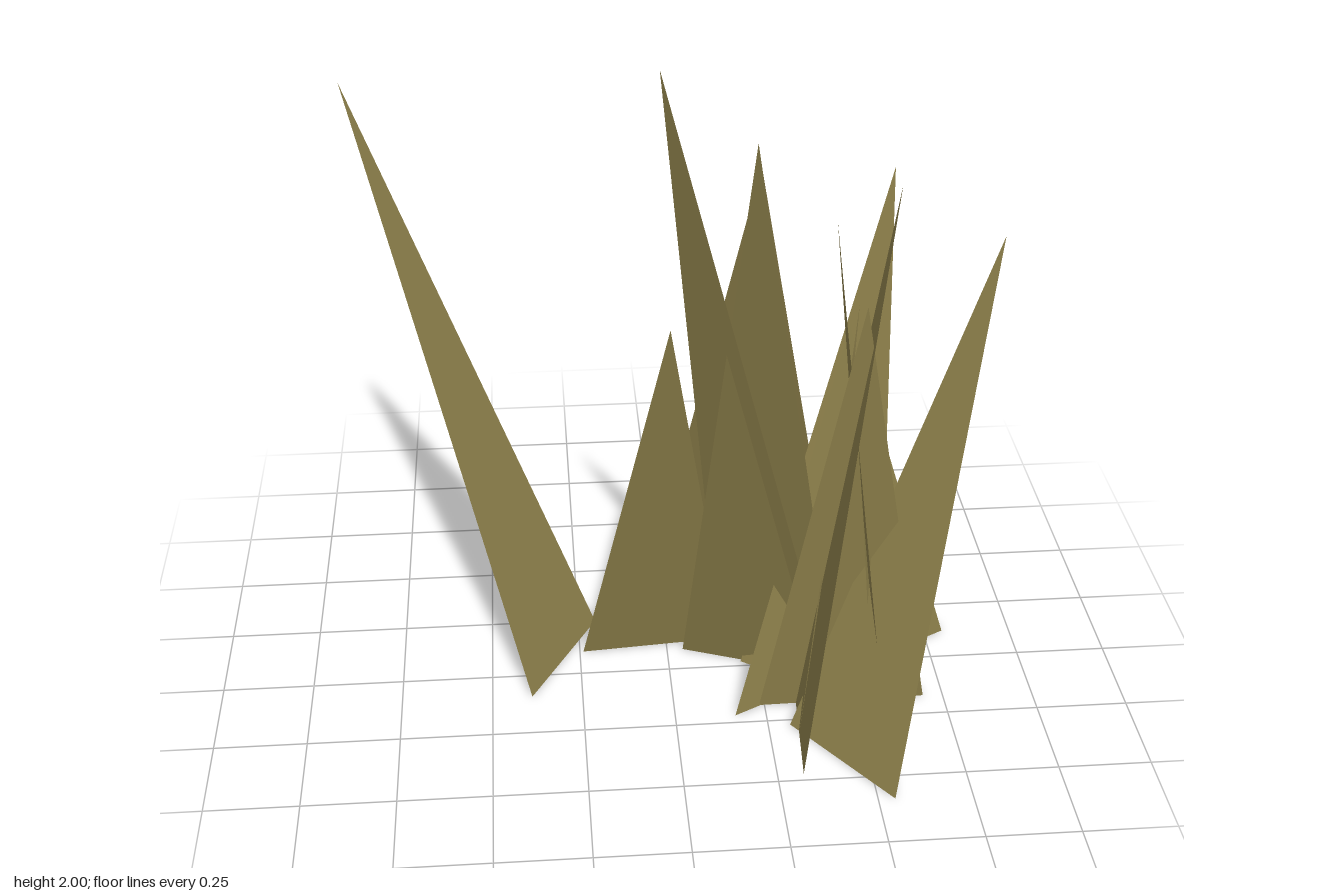
import * as THREE from 'three';

// Each blade: two ground corners [x, z] and a tip [x, y, z]
const BLADES = [
  { a: [-0.20, -0.245], b: [-0.39, 0.095], tip: [-0.83, 1.65, -0.375] },
  { a: [0.005, -0.595], b: [0.53, -0.565], tip: [0.24, 1.51, -0.08] },
  { a: [-0.24, -0.10], b: [0.18, -0.135], tip: [-0.01, 1.18, 0.165] },
  { a: [0.155, -0.11], b: [0.45, 0.07], tip: [-0.06, 2.0, 0.505] },
  { a: [0.045, -0.09], b: [0.47, 0.07], tip: [0.155, 1.83, 0.525] },
  { a: [0.205, -0.02], b: [0.56, 0.22], tip: [0.605, 1.445, -0.193] },
  { a: [0.31, 0.27], b: [0.545, 0.59], tip: [0.83, 1.39, 0.125] },
  { a: [0.805, -0.12], b: [0.165, 0.22], tip: [0.49, 1.03, -0.11] },
  { a: [0.32, 0.475], b: [0.345, 0.06], tip: [0.53, 1.61, 0.285] },
  { a: [0.555, 0.40], b: [0.57, 0.0], tip: [0.39, 1.49, 0.213] },
  { a: [0.235, 0.18], b: [0.695, 0.172], tip: [0.455, 1.31, 0.325] },
  { a: [0.53, 0.345], b: [0.58, 0.25], tip: [0.46, 1.0, 0.2] },
  { a: [0.33, 0.31], b: [0.40, 0.22], tip: [0.475, 1.2, 0.1] },
];

// A single flat triangle from the ground to its tip
function bladeGeometry({ a, b, tip }) {
  const geometry = new THREE.BufferGeometry().setFromPoints([
    new THREE.Vector3(a[0], 0, a[1]),
    new THREE.Vector3(b[0], 0, b[1]),
    new THREE.Vector3(...tip),
  ]);
  geometry.computeVertexNormals();
  return geometry;
}

export function createModel() {
  const group = new THREE.Group();
  group.name = 'grassClump';
  const dryGrass = new THREE.MeshStandardMaterial({ color: 0x8c7f4a, side: THREE.DoubleSide, flatShading: true });
  dryGrass.name = 'dry grass';

  BLADES.forEach((blade, i) => {
    const mesh = new THREE.Mesh(bladeGeometry(blade), dryGrass);
    mesh.name = `grassBlade${i + 1}`;
    group.add(mesh);
  });
  return group;
}
